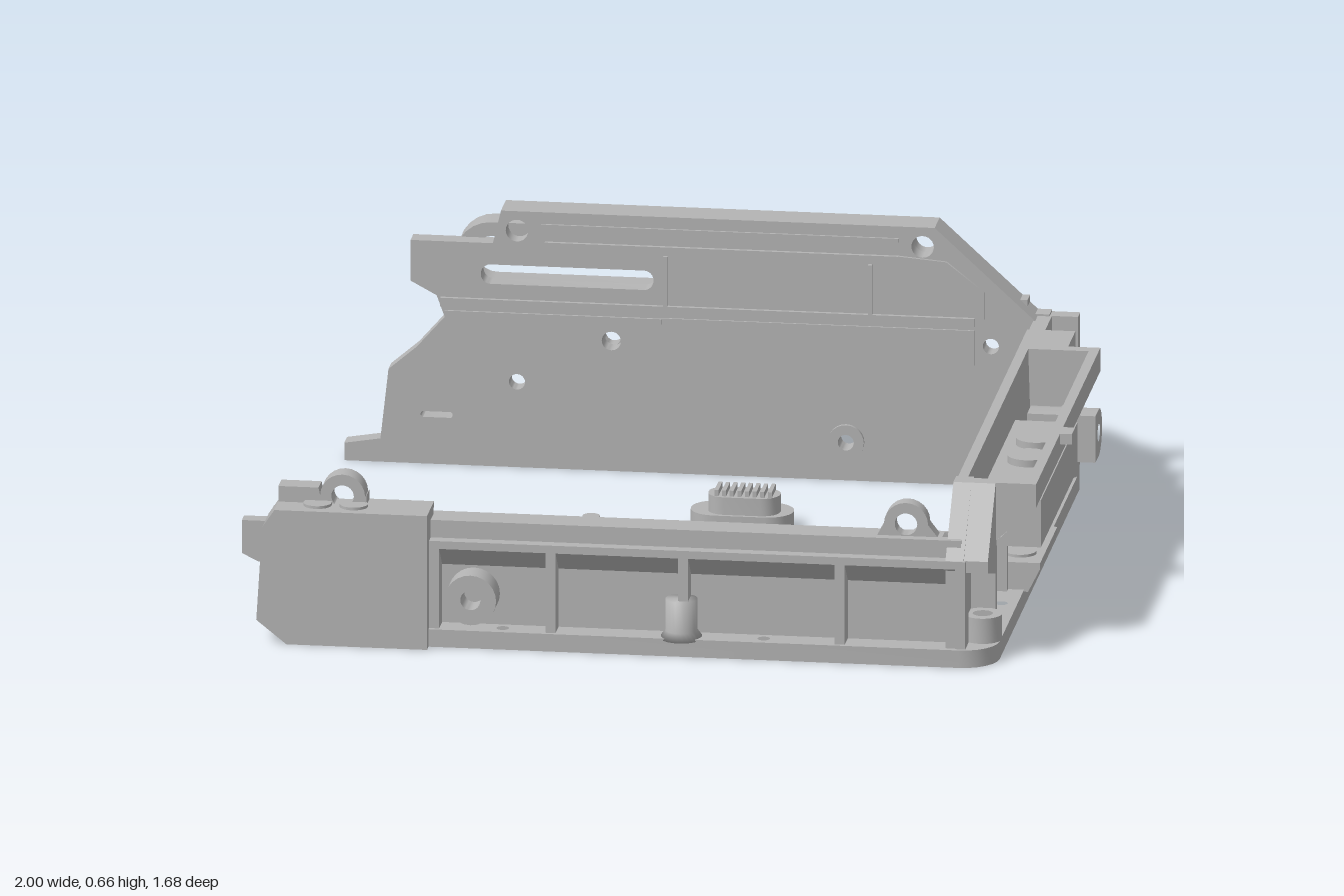
import * as THREE from 'three';
import { toCreasedNormals } from 'three/addons/utils/BufferGeometryUtils.js';

export function createModel() {
  const model = new THREE.Group();
  const grey = new THREE.MeshStandardMaterial({ color: 0xb4b4b4 });
  grey.name = 'grey plastic';

  const add = (name, geometry) => {
    const mesh = new THREE.Mesh(geometry, grey);
    mesh.name = name;
    model.add(mesh);
    return mesh;
  };
  // box given by its limits
  const box = (name, x0, x1, y0, y1, z0, z1) =>
    add(name, new THREE.BoxGeometry(x1 - x0, y1 - y0, z1 - z0)
      .translate((x0 + x1) / 2, (y0 + y1) / 2, (z0 + z1) / 2));
  // rounded rectangle outline, r may reach half the short side
  const roundRect = (x0, x1, y0, y1, r) => {
    const pts = [];
    [[x1 - r, y1 - r], [x0 + r, y1 - r], [x0 + r, y0 + r], [x1 - r, y0 + r]].forEach(([cx, cy], q) => {
      for (let i = 0; i <= 6; i++) {
        const a = (q + i / 6) * Math.PI / 2;
        pts.push([cx + r * Math.cos(a), cy + r * Math.sin(a)]);
      }
    });
    return pts;
  };
  const circle = (x, y, r) => Array.from({ length: 24 }, (_, i) => {
    const a = i / 24 * Math.PI * 2;
    return [x + r * Math.cos(a), y + r * Math.sin(a)];
  });
  // plate: outline in (x,y) along z, (z,y) along x, or (x,z) along y
  const plate = (name, axis, a0, a1, outline, holes = []) => {
    const map = ([u, v]) => axis === 'x' ? new THREE.Vector2(-u, v)
      : axis === 'y' ? new THREE.Vector2(u, -v) : new THREE.Vector2(u, v);
    const shape = new THREE.Shape(outline.map(map));
    shape.holes = holes.map(h => new THREE.Path(h.map(map)));
    const g = new THREE.ExtrudeGeometry(shape, { depth: a1 - a0, bevelEnabled: false });
    g.translate(0, 0, a0);
    if (axis === 'x') g.rotateY(Math.PI / 2);
    if (axis === 'y') g.rotateX(-Math.PI / 2);
    return add(name, toCreasedNormals(g, 0.6));
  };
  // round boss with a bore; u,v follow the plate axes
  const boss = (name, axis, u, v, r, bore, a0, a1) =>
    plate(name, axis, a0, a1, circle(u, v, r), bore ? [circle(u, v, bore)] : []);

  // base flange: a U with rounded outer corners
  const arc = (cx, cz, r, a0) => Array.from({ length: 7 }, (_, i) => {
    const a = a0 + i / 6 * Math.PI / 2;
    return [cx + r * Math.cos(a), cz + r * Math.sin(a)];
  });
  plate('baseFlange', 'y', 0, 0.045, [
    [-0.66, -0.81], ...arc(0.79, -0.72, 0.09, -Math.PI / 2), ...arc(0.79, 0.72, 0.09, 0),
    [-0.53, 0.81], [-0.53, 0.695], [0.755, 0.695], [0.755, -0.72], [-0.66, -0.72]],
  [[-0.35, 0.775], [0.3, 0.775], [0.84, 0.68], [0.84, -0.71], [0.84, 0.4], [0.3, -0.785], [-0.3, -0.785]]
    .map(([x, z]) => circle(x, z, 0.016)));
  for (const z of [-0.7, 0.7]) boss('cornerFoot', 'y', 0.835, z, 0.048, 0.025, 0.045, 0.11);

  // ---- front wall ----
  plate('frontPanel', 'z', 0.7, 0.745,
    [[-0.93, 0], [0.8, 0], [0.8, 0.26], [0.74, 0.315], [-0.93, 0.315]],
    [circle(-0.285, 0.29, 0.014)]);
  box('frontInnerLip', -0.67, 0.755, 0.27, 0.315, 0.69, 0.7);
  // top rail with a sloping underside
  plate('frontRail', 'x', -0.53, 0.79, [[0.74, 0.19], [0.8, 0.25], [0.8, 0.27], [0.77, 0.27], [0.77, 0.315], [0.74, 0.315]]);
  for (const x of [-0.53, -0.24, 0.09, 0.48, 0.78]) box('frontRib', x, x + 0.025, 0.04, 0.27, 0.74, 0.8);
  boss('frontScrewBoss', 'z', -0.425, 0.125, 0.064, 0.025, 0.74, 0.815);
  add('frontPeg', new THREE.LatheGeometry([[0, 0], [0.055, 0], [0.04, 0.02], [0.04, 0.1], [0, 0.1]]
    .map(p => new THREE.Vector2(...p)), 24).translate(0.095, 0.04, 0.775));
  plate('frontRightTab', 'z', 0.705, 0.745,
    [[0.57, 0.3], ...circle(0.65, 0.345, 0.055).slice(0, 13).reverse(), [0.74, 0.3]],
    [circle(0.65, 0.345, 0.028)]);
  // thick block on the wall's right end
  plate('endBlock', 'z', 0.72, 0.838,
    [[-0.88, 0], [-0.53, 0], [-0.53, 0.345], [-0.91, 0.345], [-0.94, 0.3], [-0.955, 0.06]]);
  plate('endTongue', 'z', 0.73, 0.77, [[-0.9, 0.19], [-0.96, 0.19], [-1, 0.21], [-1, 0.295], [-0.9, 0.295]].reverse());
  plate('endCap', 'z', 0.71, 0.765, [[-0.91, 0.33], [-0.53, 0.33], [-0.53, 0.345], [-0.69, 0.345], [-0.69, 0.37],
    ...circle(-0.75, 0.365, 0.056).slice(0, 13), [-0.81, 0.385], [-0.91, 0.385]], [circle(-0.75, 0.365, 0.028)]);
  for (const x of [-0.81, -0.72]) boss('endBlockRound', 'y', x, 0.78, 0.035, 0, 0.33, 0.352);

  // ---- left side wall with window and trough ----
  plate('sidePanel', 'x', 0.765, 0.8, [[-0.79, 0], [0.74, 0], [0.74, 0.25], [-0.79, 0.25]],
    [[[-0.03, 0.045], [0.28, 0.045], [0.28, 0.228], [-0.03, 0.228]]]);
  plate('frontCheek', 'x', 0.755, 0.8, [[0.6, 0], [0.795, 0], [0.795, 0.27], [0.65, 0.43], [0.6, 0.43]]);
  plate('frontCheekRib', 'x', 0.8, 0.86, [[0.63, 0.04], [0.655, 0.04], [0.655, 0.2], [0.79, 0.24], [0.79, 0.27], [0.65, 0.43], [0.63, 0.43]]);
  plate('backCheek', 'x', 0.765, 0.805, [[-0.8, 0], [-0.5, 0], [-0.5, 0.43], [-0.8, 0.43]], [circle(-0.63, 0.345, 0.028)]);
  plate('backCheekFrame', 'x', 0.805, 0.85, [[-0.73, 0.11], [-0.58, 0.11], [-0.58, 0.4], [-0.73, 0.4]],
    [roundRect(-0.71, -0.6, 0.16, 0.385, 0.04)]);
  box('backCornerRib', 0.8, 0.87, 0.04, 0.43, -0.545, -0.515);
  box('backTopRail', 0.76, 0.88, 0.37, 0.43, -0.65, -0.515);
  box('backCornerColumn', 0.77, 0.87, 0.04, 0.43, -0.81, -0.77);
  for (const [z0, z1] of [[0.28, 0.3], [0.48, 0.5], [0.6, 0.64], [-0.05, -0.03], [-0.51, -0.48]])
    box('sideRib', 0.795, 0.84, 0.04, 0.27, z0, z1);
  // scooped trough, open at the top
  const scoop = Array.from({ length: 9 }, (_, i) => {
    const a = i / 8 * Math.PI / 2;
    return [0.79 + 0.145 * Math.sin(a), 0.43 - 0.175 * Math.cos(a)];
  });
  plate('trough', 'z', -0.5, 0.62, [[0.96, 0.43], [0.96, 0.37], [0.8, 0.228], [0.76, 0.228], [0.76, 0.43], [0.785, 0.43],
    ...scoop].reverse());
  for (const z of [-0.52, 0.61])
    plate('troughEnd', 'z', z, z + 0.033, [[0.76, 0.228], [0.8, 0.228], [0.96, 0.37], [0.96, 0.43], [0.76, 0.43]]);
  for (const z of [0.05, 0.2]) boss('troughPost', 'y', 0.88, z, 0.052, 0.018, 0.29, 0.37);
  box('outerBar', 0.8, 0.955, 0.23, 0.352, -0.14, 0.52);
  plate('barPivot', 'x', 0.83, 1, [[-0.14, 0.25], [-0.14, 0.37], ...circle(-0.2, 0.31, 0.06).slice(6, 19)],
    [circle(-0.2, 0.31, 0.022)]);
  box('lipNub', 0.95, 0.99, 0.403, 0.43, 0.155, 0.212);
  // window sill with two screw holes
  plate('windowSill', 'z', -0.03, 0.28, [[0.765, 0.04], [0.89, 0.04], [0.92, 0.1], [0.92, 0.115], [0.765, 0.115]]);
  for (const z of [0.05, 0.2]) boss('sillBoss', 'y', 0.86, z, 0.04, 0.016, 0.11, 0.122);

  // ---- back wall ----
  const slot = roundRect(-0.61, -0.18, 0.47, 0.52, 0.024);
  const holes = [[-0.52, 0.61, 0.028], [0.49, 0.61, 0.028], [0.58, 0.36, 0.022], [-0.285, 0.335, 0.024],
    [-0.52, 0.22, 0.02], [0.3, 0.1, 0.02], [0.66, 0.36, 0.02]].map(h => circle(...h));
  plate('backPanel', 'z', -0.77, -0.72,
    [[-0.95, 0], [0.8, 0], [0.8, 0.43], [0.77, 0.43], [0.52, 0.66], [-0.56, 0.66], [-0.58, 0.575], [-0.785, 0.575],
      [-0.785, 0.47], [-0.72, 0.435], [-0.7, 0.38], [-0.77, 0.3], [-0.84, 0.24], [-0.86, 0.06], [-0.95, 0.045]],
    [slot, ...holes, roundRect(-0.76, -0.68, 0.12, 0.135, 0.007)]);
  plate('backUpperRim', 'z', -0.81, -0.77,
    [[-0.02, 0.43], [0.77, 0.43], [0.52, 0.66], [-0.02, 0.66]],
    [[[0, 0.455], [0.68, 0.455], [0.5, 0.635], [0, 0.635]]]);
  box('backTopEdge', -0.56, 0, 0.635, 0.66, -0.81, -0.77);
  for (const x of [-0.52, 0.49]) boss('backHoleCollar', 'z', x, 0.61, 0.05, 0.028, -0.81, -0.77);
  plate('slotRim', 'z', -0.84, -0.765, roundRect(-0.68, 0.025, 0.43, 0.615, 0.09),
    [roundRect(-0.64, -0.015, 0.465, 0.58, 0.055)]);
  box('backShelf', -0.62, 0.8, 0.405, 0.435, -0.81, -0.765);
  for (const x of [0.24, 0.72]) box('backUpperRib', x, x + 0.025, 0.43, 0.47, -0.81, -0.765);
  box('backLowerRib', 0.7, 0.725, 0.04, 0.42, -0.8, -0.765);
  boss('backPost', 'y', -0.09, -0.795, 0.045, 0, 0.04, 0.46);
  for (const [x, y, r] of [[-0.27, 0.2, 0.06], [-0.29, 0.33, 0.055], [0.55, 0.36, 0.045]])
    boss('backScrewBoss', 'z', x, y, r, 0.022, -0.815, -0.765);
  boss('backFoot', 'y', -0.57, -0.785, 0.052, 0.02, 0, 0.12);

  // raised lines on the inner face of the back wall
  box('innerLedge', -0.71, 0.62, 0.41, 0.432, -0.72, -0.71);
  box('innerStep', -0.7, -0.16, 0.385, 0.398, -0.72, -0.714);
  box('innerStep', -0.16, 0.62, 0.31, 0.4, -0.72, -0.715);
  box('innerRail', -0.45, 0.43, 0.57, 0.585, -0.73, -0.71);
  box('innerRail', -0.46, 0.43, 0.62, 0.63, -0.73, -0.714);
  plate('innerDiagonal', 'z', -0.73, -0.712, [[0.43, 0.57], [0.54, 0.56], [0.63, 0.49], [0.63, 0.43], [0.645, 0.43], [0.645, 0.5], [0.55, 0.575], [0.43, 0.585]]);
  for (const x of [-0.15, 0.36]) box('innerRib', x - 0.005, x + 0.005, 0.43, 0.56, -0.73, -0.71);
  boss('innerBoss', 'z', 0.3, 0.1, 0.045, 0.02, -0.72, -0.71);

  // ---- loose parts inside the frame ----
  plate('flatStrip', 'y', 0.005, 0.04, roundRect(-0.74, -0.1, -0.125, -0.02, 0.018));
  boss('stripPin', 'y', -0.245, -0.065, 0.022, 0, 0.03, 0.085);

  plate('buttonBase', 'y', 0, 0.055, roundRect(-0.025, 0.232, -0.332, -0.203, 0.064));
  plate('buttonTop', 'y', 0.055, 0.1, roundRect(0.02, 0.2, -0.305, -0.212, 0.045));
  for (let i = 0; i < 8; i++) box('buttonGrip', 0.04 + i * 0.019, 0.05 + i * 0.019, 0.1, 0.115, -0.295, -0.222);

  plate('bracketPlate', 'y', 0, 0.045,
    [[-0.375, 0.122], [-0.005, 0.122], [-0.005, 0.15], [0.123, 0.15], [0.123, 0.265], [-0.105, 0.265], [-0.105, 0.312],
      [0.12, 0.312], [0.12, 0.352], [0.203, 0.352], [0.203, 0.517], [-0.235, 0.517], [-0.275, 0.49], [-0.375, 0.2]],
    [circle(-0.325, 0.195, 0.027), circle(-0.225, 0.46, 0.027)]);
  boss('bracketCollar', 'y', -0.325, 0.195, 0.045, 0.027, 0.045, 0.065);
  boss('bracketCollar', 'y', -0.225, 0.46, 0.045, 0.027, 0.045, 0.065);
  plate('bracketChannel', 'z', 0.122, 0.275, [[-0.25, 0.04], [-0.155, 0.04], [-0.155, 0.085],
    ...circle(-0.202, 0.085, 0.034).slice(12).map(([x, y]) => [x, y]).reverse(), [-0.25, 0.085]]);
  box('bracketArm', -0.155, 0, 0.04, 0.085, 0.122, 0.235);
  box('bracketArm', -0.22, 0.05, 0.04, 0.08, 0.352, 0.395);
  box('bracketArm', -0.1, 0.203, 0.04, 0.07, 0.395, 0.44);

  return model;
}
